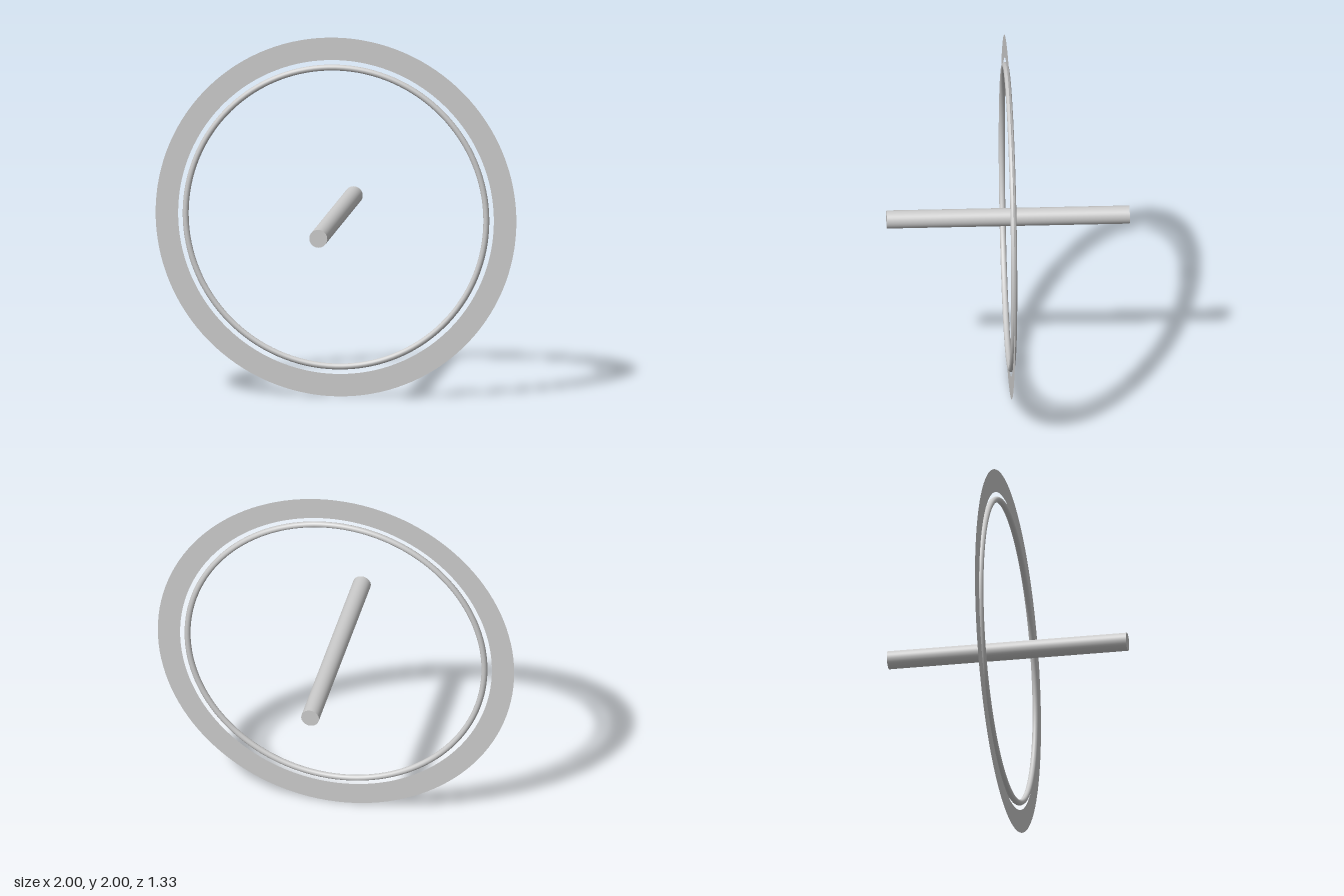
import * as THREE from 'three';

export function createModel() {
  const group = new THREE.Group();
  const solid = new THREE.MeshStandardMaterial({ color: 0xcccccc });
  const thin = new THREE.MeshStandardMaterial({ color: 0xcccccc, side: THREE.DoubleSide });

  const add = (name, geometry, material = solid) => {
    const mesh = new THREE.Mesh(geometry, material);
    mesh.name = name;
    mesh.position.y = 1;
    group.add(mesh);
    return mesh;
  };

  // Flat outer band with no thickness
  add('outerRing', new THREE.RingGeometry(0.875, 1, 128), thin);

  // Slim round hoop just inside the band
  add('innerHoop', new THREE.TorusGeometry(0.8333, 0.0167, 16, 128));

  // Central rod running front to back
  add('axle', new THREE.CylinderGeometry(0.05, 0.05, 1.3333, 32)).rotation.x = Math.PI / 2;

  return group;
}
